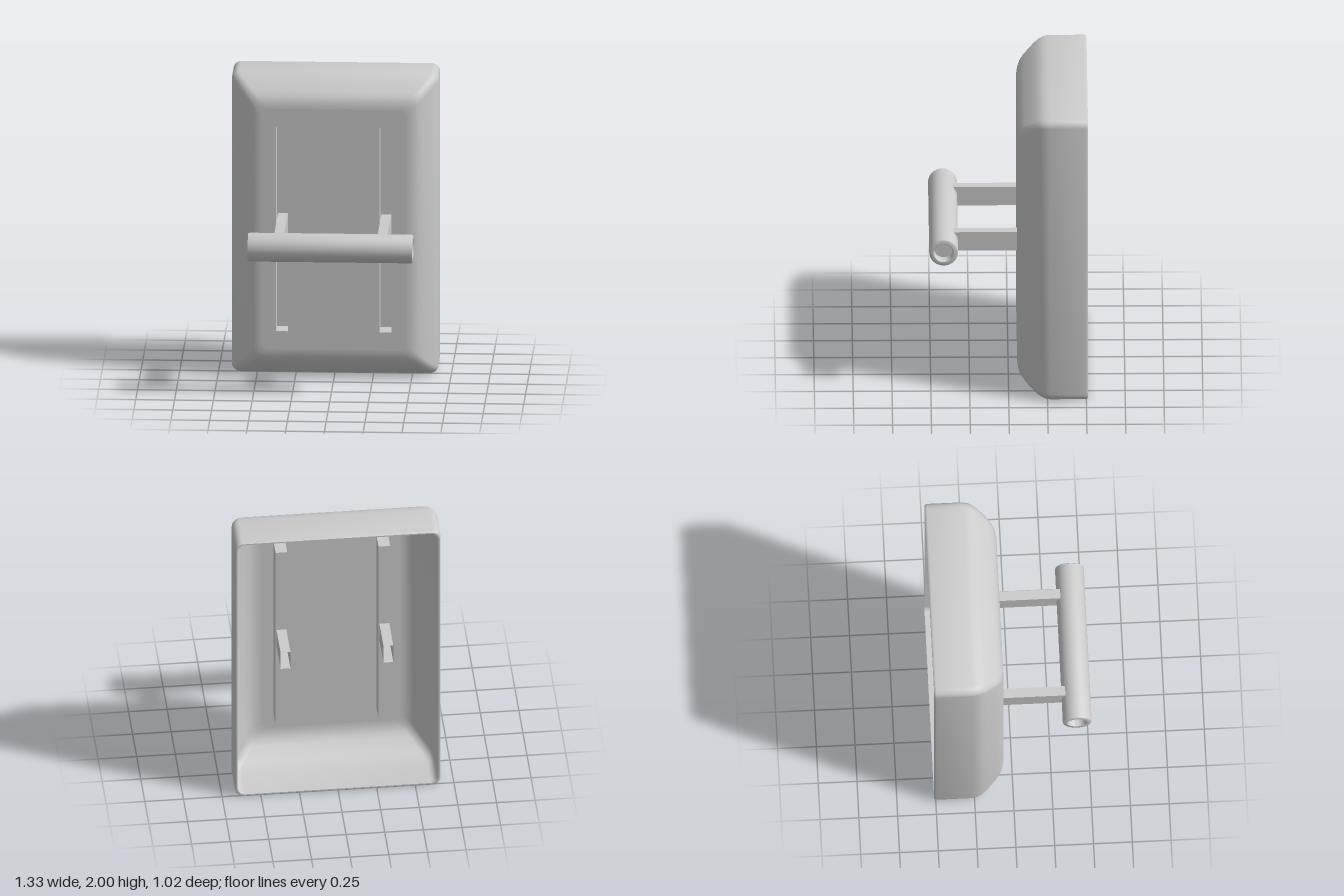
import * as THREE from 'three';
import { toCreasedNormals } from 'three/addons/utils/BufferGeometryUtils.js';

const W = 0.665, H = 1, CY = 1;        // shell half width, half height, centre height
const FRONT = -0.055, BACK = -0.51, WALL = 0.015;
const SLOT = { x: 0.333, w: 0.076, h: 1.36 };

const solid = new THREE.MeshStandardMaterial({ color: 0xcccccc });
const sheet = new THREE.MeshStandardMaterial({ color: 0xcccccc, side: THREE.DoubleSide });

function add(parent, name, geometry, material, x = 0, y = 0, z = 0) {
  const mesh = new THREE.Mesh(geometry, material);
  mesh.name = name;
  mesh.position.set(x, y, z);
  parent.add(mesh);
  return mesh;
}

// Counter-clockwise rounded rectangle, inset from the shell outline
function outline(inset, radius = 0.05, steps = 6) {
  const points = [];
  const cx = W - inset - radius, cy = H - inset - radius;
  [[1, 1], [-1, 1], [-1, -1], [1, -1]].forEach(([sx, sy], corner) => {
    for (let i = 0; i <= steps; i++) {
      const a = (corner + i / steps) * Math.PI / 2;
      points.push(new THREE.Vector2(sx * cx + radius * Math.cos(a), sy * cy + radius * Math.sin(a)));
    }
  });
  return points;
}

// Skin through outlines given as [z, inset]
function loft(sections) {
  const positions = [], index = [];
  const n = outline(0).length;
  sections.forEach(([z, inset]) => outline(inset).forEach(p => positions.push(p.x, p.y, z)));
  for (let i = 0; i < sections.length - 1; i++) {
    for (let j = 0; j < n; j++) {
      const a = i * n + j, b = i * n + (j + 1) % n;
      index.push(a, a + n, b, b, a + n, b + n);
    }
  }
  const geometry = new THREE.BufferGeometry();
  geometry.setAttribute('position', new THREE.Float32BufferAttribute(positions, 3));
  geometry.setIndex(index);
  return toCreasedNormals(geometry, 0.6);
}

// Flat front wall pierced by the two slots
function slottedFace(inset) {
  const shape = new THREE.Shape(outline(inset));
  for (const side of [-1, 1]) {
    const l = side * SLOT.x - SLOT.w / 2, r = l + SLOT.w, h = SLOT.h / 2;
    shape.holes.push(new THREE.Path([[l, -h], [l, h], [r, h], [r, -h]].map(p => new THREE.Vector2(...p))));
  }
  return new THREE.ShapeGeometry(shape);
}

// Box without one face (4 = front, 5 = back)
function openBox(w, h, d, missing) {
  const geometry = new THREE.BoxGeometry(w, h, d);
  const index = Array.from(geometry.index.array);
  index.splice(missing * 6, 6);
  geometry.setIndex(index);
  geometry.clearGroups();
  return geometry;
}

export function createModel() {
  const model = new THREE.Group();
  model.name = 'slottedPanelWithHandle';

  // Hollow shell: bevelled outside, thin rim, matching inside
  const profile = [
    [FRONT, 0.2], [FRONT - 0.001, 0.18], [-0.062, 0.152], [-0.076, 0.122], [-0.105, 0.09],
    [-0.17, 0.037], [-0.2, 0.018], [-0.23, 0.006], [-0.265, 0], [BACK + 0.015, 0],
  ];
  const inside = profile.slice(0, -1).reverse().map(([z, inset]) => [z - WALL, inset + WALL]);
  const rim = [[BACK + 0.004, 0.003], [BACK, 0.007], [BACK, WALL]];
  const shell = new THREE.Group();
  shell.name = 'shell';
  shell.position.y = CY;
  model.add(shell);
  add(shell, 'shellWall', loft([...profile, ...rim, ...inside]), solid);
  add(shell, 'frontFace', slottedFace(0.2), solid, 0, 0, FRONT);
  add(shell, 'innerFace', slottedFace(0.2 + WALL), sheet, 0, 0, FRONT - WALL);

  // Slot channels and the hollow arms that run through them
  const channelDepth = 0.135, armBack = -0.44, armFront = 0.35;
  for (const [side, label] of [[-1, 'right'], [1, 'left']]) {
    add(model, label + 'SlotChannel', openBox(SLOT.w, SLOT.h, channelDepth, 4), sheet,
      side * SLOT.x, CY, FRONT - channelDepth / 2);
    add(model, label + 'Arm', openBox(0.064, 0.13, armFront - armBack, 5), sheet,
      side * SLOT.x, 1.005, (armFront + armBack) / 2);
  }

  // Round grip with softened ends and recessed sockets
  const end = [[0.06, 0.47], [0.06, 0.525], [0.065, 0.533], [0.085, 0.533], [0.091, 0.529], [0.093, 0.52]];
  const grip = [
    [0, -0.47], ...end.map(([r, y]) => [r, -y]),
    ...end.slice().reverse(), [0, 0.47],
  ].map(p => new THREE.Vector2(...p));
  const handle = add(model, 'handle', toCreasedNormals(new THREE.LatheGeometry(grip, 40), 0.7),
    sheet, 0, 1.003, 0.418);
  handle.rotation.z = -Math.PI / 2;

  return model;
}
